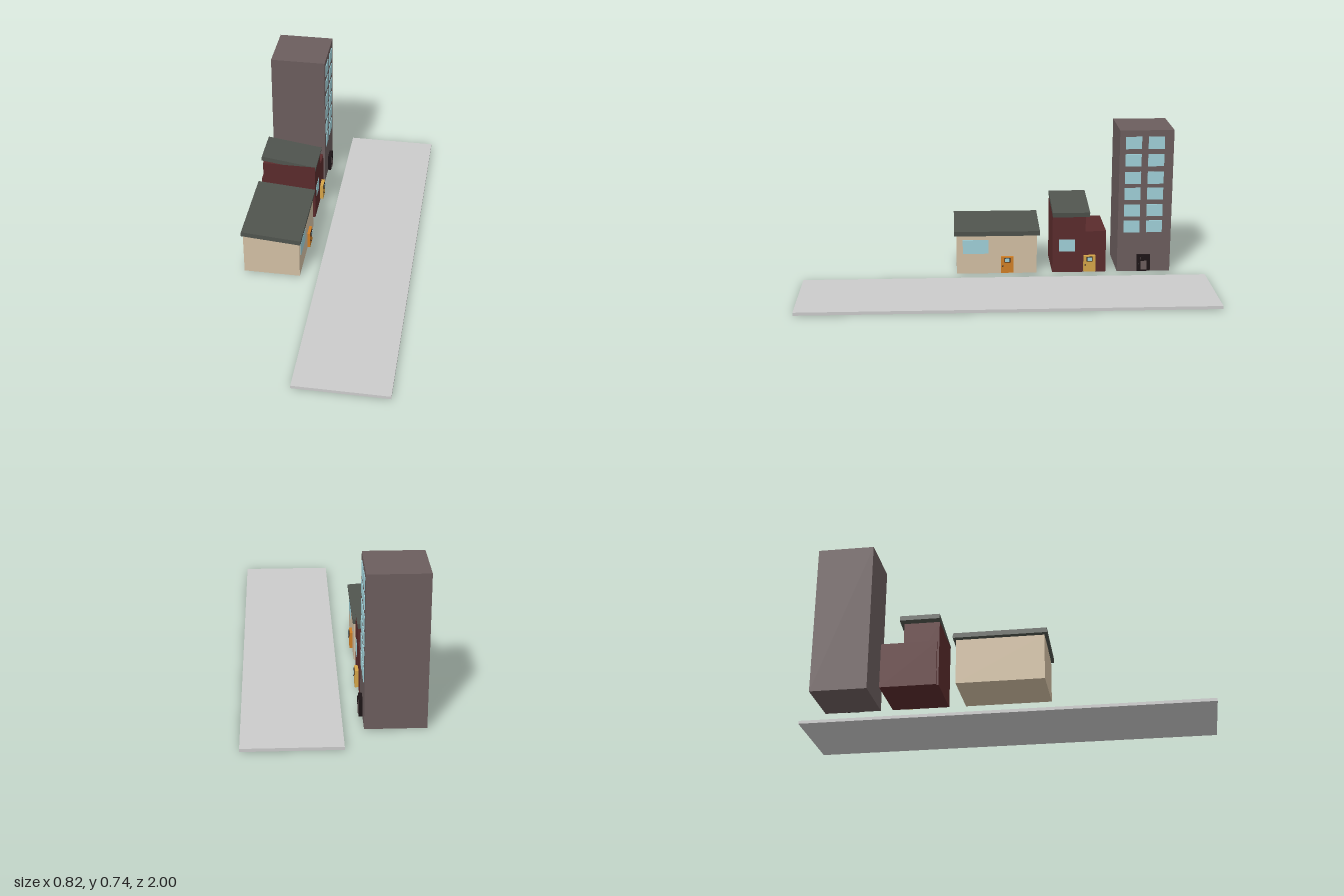
import * as THREE from 'three';

const mat = (color) => new THREE.MeshStandardMaterial({ color, flatShading: true });

export function createModel() {
  const model = new THREE.Group();
  const grey = mat(0xcccccc), stone = mat(0x6b5d5d), brick = mat(0x5a2b2c), plaster = mat(0xd2bfa3);
  const slate = mat(0x50544e), glass = mat(0x9fd0d8), black = mat(0x1c1416);

  // Box given by its min/max extents on each axis
  function box(parent, name, material, [x0, x1], [y0, y1], [z0, z1]) {
    const mesh = new THREE.Mesh(new THREE.BoxGeometry(x1 - x0, y1 - y0, z1 - z0), material);
    mesh.position.set((x0 + x1) / 2, (y0 + y1) / 2, (z0 + z1) / 2);
    mesh.name = name;
    parent.add(mesh);
    return mesh;
  }

  function building(name) {
    const group = new THREE.Group();
    group.name = name;
    model.add(group);
    return group;
  }

  // Slab roof sloping down towards the road
  function roof(parent, cx, cy, length, tilt, z) {
    const mesh = box(parent, 'roof', slate, [cx - length / 2, cx + length / 2], [cy - 0.012, cy + 0.012], z);
    mesh.rotation.z = -tilt;
  }

  const pane = (parent, y, z) => box(parent, 'window', glass, [-0.132, -0.127], y, z);

  // Door leaf with a small framed light and a knob
  function door(parent, z, width, leafMat, lightMat) {
    const group = new THREE.Group();
    group.name = 'door';
    parent.add(group);
    box(group, 'doorLeaf', leafMat, [-0.13, -0.113], [0.011, 0.095], [z - width / 2, z + width / 2]);
    box(group, 'doorLightFrame', black, [-0.114, -0.109], [0.066, 0.09], [z - 0.015, z + 0.015]);
    box(group, 'doorLight', lightMat, [-0.114, -0.108], [0.069, 0.087], [z - 0.012, z + 0.012]);
    const knob = new THREE.Mesh(new THREE.SphereGeometry(0.004, 8, 6), black);
    knob.position.set(-0.112, 0.047, z + width * 0.36);
    knob.name = 'doorKnob';
    group.add(knob);
    return group;
  }

  box(model, 'road', grey, [-0.037, 0.41], [0, 0.015], [-1, 1]);

  // Tower with two columns of windows
  const tower = building('tower');
  box(tower, 'towerWalls', stone, [-0.407, -0.13], [0.005, 0.735], [-0.837, -0.569]);
  for (const y of [0.242, 0.326, 0.412, 0.494, 0.584, 0.672])
    for (const z of [-0.638, -0.751]) pane(tower, [y - 0.031, y + 0.031], [z - 0.04, z + 0.04]);
  const towerDoor = door(tower, -0.702, 0.066, black, black);
  box(towerDoor, 'doorPanel', stone, [-0.114, -0.11], [0.018, 0.086], [-0.717, -0.687]);

  // Stepped brick house
  const brickHouse = building('brickHouse');
  box(brickHouse, 'tallWing', brick, [-0.397, -0.129], [0.005, 0.319], [-0.407, -0.241]);
  box(brickHouse, 'lowWing', brick, [-0.407, -0.13], [0.005, 0.219], [-0.511, -0.25]);
  roof(brickHouse, -0.2645, 0.3265, 0.281, 0.143, [-0.428, -0.241]);
  pane(brickHouse, [0.115, 0.178], [-0.355, -0.274]);
  door(brickHouse, -0.428, 0.06, mat(0xd6a548), glass);

  // Low plaster house
  const cottage = building('cottage');
  box(cottage, 'cottageWalls', plaster, [-0.403, -0.127], [0.005, 0.218], [-0.162, 0.241]);
  roof(cottage, -0.2645, 0.227, 0.292, 0.08, [-0.177, 0.253]);
  box(cottage, 'window', glass, [-0.13, -0.124], [0.11, 0.182], [0.082, 0.21]);
  door(cottage, -0.013, 0.064, mat(0xd07f26), glass);

  return model;
}
